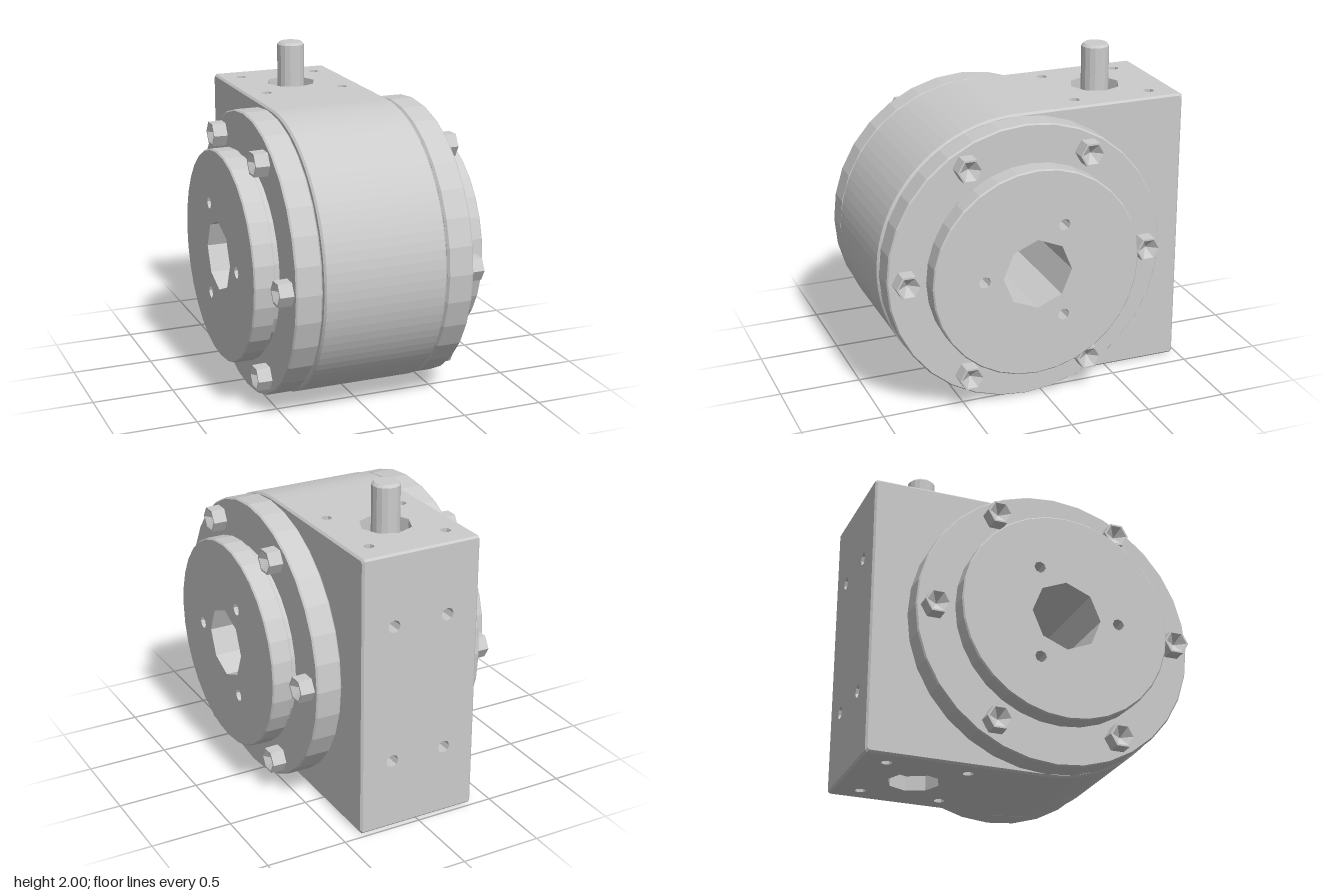
import * as THREE from 'three';

const R = 0.87, HALF = 0.38, BACK = -1.08, BEVEL = 0.012; // origin on the main bore axis
const SHAFT_Z = -0.67;
const mat = new THREE.MeshStandardMaterial({ color: 0xcccccc, flatShading: true });
const thin = new THREE.MeshStandardMaterial({ color: 0xcccccc, flatShading: true, side: THREE.DoubleSide });

function add(parent, name, geometry, material = mat) {
  const m = new THREE.Mesh(geometry, material);
  m.name = name;
  parent.add(m);
  return m;
}

const polygon = (cx, cy, r, n = 8) => Array.from({ length: n }, (_, i) => {
  const t = (i / n) * Math.PI * 2;
  return new THREE.Vector2(cx + r * Math.sin(t), cy + r * Math.cos(t));
});

// flat panel facing +z; holes are [x, y, radius]
function panel(outline, holes) {
  const s = new THREE.Shape(outline);
  for (const [x, y, r] of holes) s.holes.push(new THREE.Path(polygon(x, y, r)));
  return new THREE.ShapeGeometry(s);
}

const rect = (x, y0, y1) => [[-x, y0], [x, y0], [x, y1], [-x, y1]].map(p => new THREE.Vector2(...p));
const tube = (r, len) => new THREE.CylinderGeometry(r, r, len, 8, 1, true);
const latheX = (pts, n) => new THREE.LatheGeometry(pts.map(p => new THREE.Vector2(...p)), n).rotateZ(-Math.PI / 2);

// D-shaped side outline as [z, y]: round front, square back
function outlineD(inset) {
  const r = R - inset, b = BACK + inset, pts = [];
  for (let i = 0; i <= 48; i++) {
    const t = (i / 48) * Math.PI;
    pts.push([r * Math.sin(t), r * Math.cos(t)]);
  }
  pts.push([b + BEVEL, -r], [b, -r + BEVEL], [b, r - BEVEL], [b + BEVEL, r]);
  return pts;
}

// curved front wall and bevelled edges, leaving the three flat faces to panels
function shell() {
  const rows = [[-HALF, BEVEL], [-HALF + BEVEL, 0], [HALF - BEVEL, 0], [HALF, BEVEL]]
    .map(([x, inset]) => outlineD(inset).map(([z, y]) => [x, y, z]));
  const n = rows[0].length, pos = [];
  for (let i = 0; i < 3; i++) {
    for (let j = 0; j < n; j++) {
      if (i === 1 && [48, 50, 52].includes(j)) continue;
      const k = (j + 1) % n;
      const [a, b, c, d] = [rows[i][j], rows[i][k], rows[i + 1][k], rows[i + 1][j]];
      pos.push(...a, ...b, ...d, ...b, ...c, ...d);
    }
  }
  const g = new THREE.BufferGeometry();
  g.setAttribute('position', new THREE.Float32BufferAttribute(pos, 3));
  g.computeVertexNormals();
  return g;
}

// bolt positions and hub screw holes around the main axis, [z, y]
const ring = (r, n) => Array.from({ length: n }, (_, i) => {
  const t = (i / n) * Math.PI * 2;
  return [r * Math.cos(t), r * Math.sin(t)];
});
const hubHoles = ring(0.33, 3);

function createSide() {
  const side = new THREE.Group();
  side.name = 'side';
  // housing end wall
  const wall = panel(outlineD(BEVEL).map(([z, y]) => new THREE.Vector2(-z, y)), [[0, 0, 0.55]]);
  add(side, 'endWall', wall.rotateY(Math.PI / 2).translate(HALF, 0, 0));
  // flange and recessed neck
  add(side, 'flange', latheX([[0.5, 0.386], [0.85, 0.386], [0.865, 0.398], [0.865, 0.54],
    [0.857, 0.55], [0.6, 0.55]], 32));
  add(side, 'neck', latheX([[0.6, 0.55], [0.6, 0.59]], 32));
  // hub disc with bore and screw holes
  add(side, 'hubRim', latheX([[0.6, 0.59], [0.64, 0.59], [0.645, 0.6], [0.645, 0.712], [0.637, 0.72]], 32));
  const face = panel(polygon(0, 0, 0.637, 32),
    [[0, 0, 0.215], ...hubHoles.map(([z, y]) => [-z, y, 0.036])]);
  add(side, 'hubFace', face.rotateY(Math.PI / 2).translate(0.72, 0, 0));
  // socket-head bolts
  ring(0.757, 6).forEach(([z, y]) => {
    const bolt = add(side, 'bolt', latheX([[0.08, 0], [0.078, 0.09], [0.066, 0.09], [0, 0.04]], 6));
    bolt.position.set(0.545, y, z);
  });
  return side;
}

const mountHoles = [];
for (const x of [-0.25, 0.25]) for (const dz of [-0.245, 0.245]) mountHoles.push([x, SHAFT_Z + dz]);

function createTopFace() {
  const top = new THREE.Group();
  top.name = 'mountFace';
  const plate = panel(rect(HALF - BEVEL, 0, -BACK - BEVEL),
    [[0, -SHAFT_Z, 0.155], ...mountHoles.map(([x, z]) => [x, -z, 0.032])]);
  add(top, 'mountPlate', plate.rotateX(-Math.PI / 2).translate(0, R, 0));
  // shaft recess
  add(top, 'recessWall', tube(0.155, 0.09), thin).position.set(0, R - 0.045, SHAFT_Z);
  add(top, 'recessFloor', new THREE.CircleGeometry(0.156, 24).rotateX(-Math.PI / 2))
    .position.set(0, R - 0.09, SHAFT_Z);
  return top;
}

export function createModel() {
  const model = new THREE.Group();
  model.name = 'gearbox';
  const body = new THREE.Group();
  body.name = 'body';
  body.position.set(0, R, 0.105);
  model.add(body);

  add(body, 'housing', shell());

  // both sides, and top and bottom, repeat by a half turn about z
  for (const turn of [0, Math.PI]) {
    for (const part of [createSide(), createTopFace()]) {
      part.rotation.z = turn;
      body.add(part);
    }
  }

  // back face with blind holes
  const blind = [];
  for (const x of [-0.175, 0.175]) for (const y of [-0.43, 0.43]) blind.push([x, y, 0.04]);
  const back = panel(rect(HALF - BEVEL, -R + BEVEL, R - BEVEL), blind);
  add(body, 'backPlate', back.rotateY(Math.PI).translate(0, 0, BACK));
  for (const [x, y, r] of blind) {
    add(body, 'blindHole', tube(r, 0.12).rotateX(Math.PI / 2), thin).position.set(x, y, BACK + 0.06);
    add(body, 'blindHoleEnd', new THREE.CircleGeometry(r, 8).rotateY(Math.PI)).position.set(x, y, BACK + 0.12);
  }

  // main bore and through holes
  add(body, 'bore', tube(0.215, 1.44).rotateZ(-Math.PI / 2), thin);
  for (const [z, y] of hubHoles) {
    add(body, 'hubHole', tube(0.036, 1.44).rotateZ(-Math.PI / 2), thin).position.set(0, y, z);
  }
  for (const [x, z] of mountHoles) {
    add(body, 'mountHole', tube(0.032, 2 * R), thin).position.set(x, 0, z);
  }

  // input shaft with chamfered tip
  const shaft = [[0.085, 0.78], [0.085, 1.115], [0.07, 1.13], [0, 1.13]].map(p => new THREE.Vector2(...p));
  add(body, 'inputShaft', new THREE.LatheGeometry(shaft, 16)).position.z = SHAFT_Z;

  return model;
}
